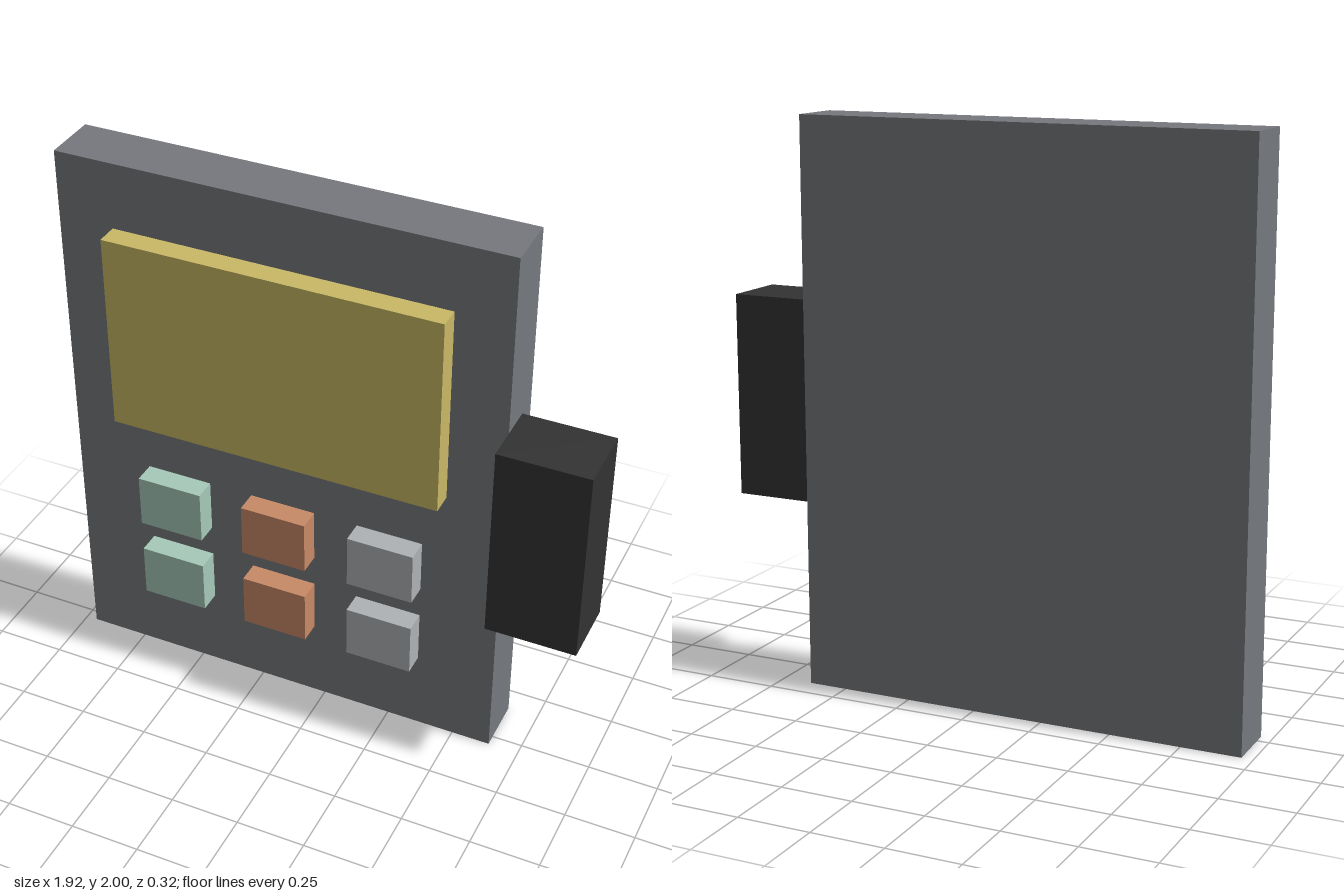
import * as THREE from 'three';

const material = (name, color) => {
  const m = new THREE.MeshStandardMaterial({ color });
  m.name = name;
  return m;
};

// Box given by its lower and upper corners
function block(name, mat, [x0, y0, z0], [x1, y1, z1]) {
  const mesh = new THREE.Mesh(new THREE.BoxGeometry(x1 - x0, y1 - y0, z1 - z0), mat);
  mesh.position.set((x0 + x1) / 2, (y0 + y1) / 2, (z0 + z1) / 2);
  mesh.name = name;
  return mesh;
}

export function createModel() {
  const group = new THREE.Group();
  group.name = 'handheldDevice';

  const grey = material('slate grey', 0x75787d);
  const yellow = material('mustard yellow', 0xc9b865);
  const black = material('charcoal black', 0x333333);
  const buttonColours = [
    material('mint green', 0xa6cab8),
    material('terracotta orange', 0xc88a66),
    material('light grey', 0xaeb2b5),
  ];

  // Slab body, raised screen and side grip
  group.add(block('body', grey, [-0.96, 0, -0.16], [0.64, 2, 0.04]));
  group.add(block('screen', yellow, [-0.76, 1.04, 0.04], [0.44, 1.76, 0.12]));
  group.add(block('sideGrip', black, [0.64, 0.64, -0.08], [0.96, 1.36, 0.16]));

  // Two rows of three buttons, one colour per column
  const buttons = new THREE.Group();
  buttons.name = 'buttons';
  buttonColours.forEach((mat, column) => {
    const x = -0.68 + column * 0.4;
    [0.62, 0.305].forEach((y, row) => {
      buttons.add(block(`button${row + 1}${column + 1}`, mat, [x, y, 0.04], [x + 0.24, y + 0.197, 0.12]));
    });
  });
  group.add(buttons);

  return group;
}
